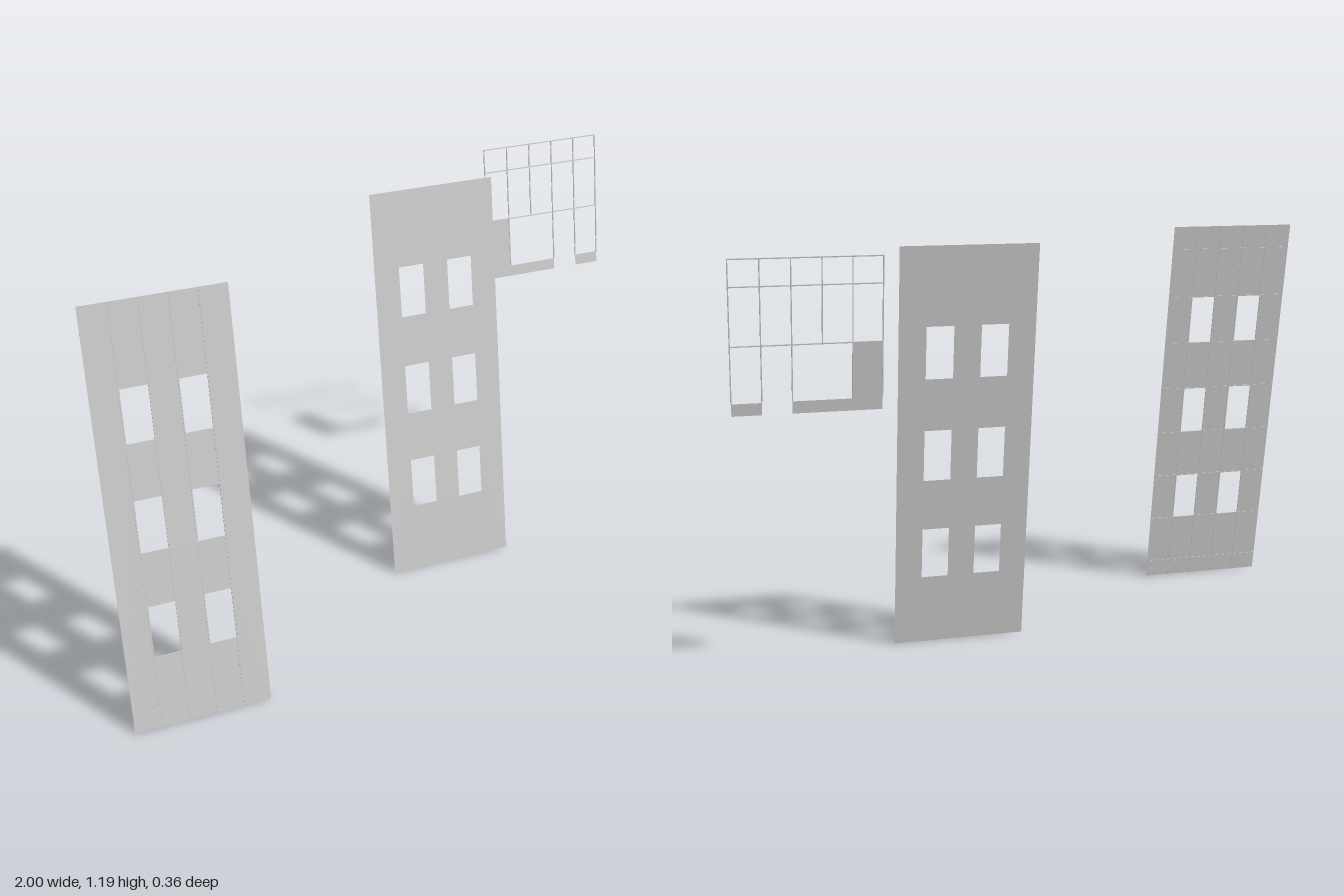
import * as THREE from 'three';

const mat = new THREE.MeshStandardMaterial({ color: 0xcccccc, side: THREE.DoubleSide });

// Panel plane: U runs along the width, V up the leaning height
const U = new THREE.Vector3(0.355, 0, 0.16);
const V = new THREE.Vector3(0.085, 1.192, -0.19);
const W = U.length(), H = V.length();
const COL = W / 5;                       // five columns of cells
const up = y => (y / 1.192) * H;         // world height to distance up the panel
const ROWS = [0.055, 0.21, 0.362, 0.513, 0.664, 0.816, 0.967, 1.12];
const LINE = 0.003;

function rectPoints(x0, y0, x1, y1) {
  return [[x0, y0], [x1, y0], [x1, y1], [x0, y1]].map(([x, y]) => new THREE.Vector2(x, y));
}

// Flat wall with two columns and three rows of window openings
function wall(name) {
  const shape = new THREE.Shape(rectPoints(0, 0, W, H));
  for (const c of [1, 3]) for (const r of [1, 3, 5]) {
    const hole = rectPoints(c * COL, up(ROWS[r]), (c + 1) * COL, up(ROWS[r + 1]));
    shape.holes.push(new THREE.Path(hole.reverse()));
  }
  const mesh = new THREE.Mesh(new THREE.ShapeGeometry(shape), mat);
  mesh.name = name;
  return mesh;
}

function plate(name, x0, y0, x1, y1) {
  const mesh = new THREE.Mesh(new THREE.ShapeGeometry(new THREE.Shape(rectPoints(x0, y0, x1, y1))), mat);
  mesh.name = name;
  return mesh;
}

// Hair-thin bar between two corners of a strip
function bar(name, x0, y0, x1, y1) {
  const mesh = new THREE.Mesh(new THREE.BoxGeometry(x1 - x0 || LINE, y1 - y0 || LINE, LINE), mat);
  mesh.position.set((x0 + x1) / 2, (y0 + y1) / 2, 0);
  mesh.name = name;
  return mesh;
}

// Group lying in the leaning plane, with its lower left corner at x, z
function panel(name, x, z) {
  const g = new THREE.Group();
  g.name = name;
  const a = U.clone().normalize(), b = V.clone().normalize();
  const n = new THREE.Vector3().crossVectors(a, b).normalize();
  b.crossVectors(n, a);
  g.quaternion.setFromRotationMatrix(new THREE.Matrix4().makeBasis(a, b, n));
  g.position.set(x, 0, z);
  return g;
}

export function createModel() {
  const model = new THREE.Group();
  model.name = 'windowPanels';

  // Wall divided by seams
  const seamed = panel('seamedPanel', -1.0, 0.02);
  seamed.add(wall('seamedWall'));
  for (const y of ROWS) {
    const openings = ROWS.indexOf(y);
    seamed.add(bar('rowSeam' + openings, 0, up(y), W, up(y)));
  }
  for (let c = 1; c < 5; c++) seamed.add(bar('columnSeam' + c, c * COL, 0, c * COL, H));

  // Plain wall
  const plain = panel('plainPanel', 0.035, 0.02);
  plain.add(wall('plainWall'));

  // Open grid fragment with a few solid cells along its lower edge
  const open = panel('openGrid', 0.555, 0.013);
  const low = up(0.783), sill = up(0.816), mid = up(0.967);
  open.add(
    plate('cornerPlate', 0, sill, COL, mid),
    plate('lowerPlate', 0, low, 3 * COL, sill),
    plate('endPlate', 4 * COL, low, W, sill)
  );
  for (const y of [mid, up(1.12), H - LINE / 2]) open.add(bar('gridRow', 0, y, W, y));
  for (let c = 0; c <= 5; c++) {
    const bottom = c === 2 ? mid : sill;
    open.add(bar('gridColumn' + c, c * COL, bottom, c * COL, H));
  }

  model.add(seamed, plain, open);
  return model;
}
